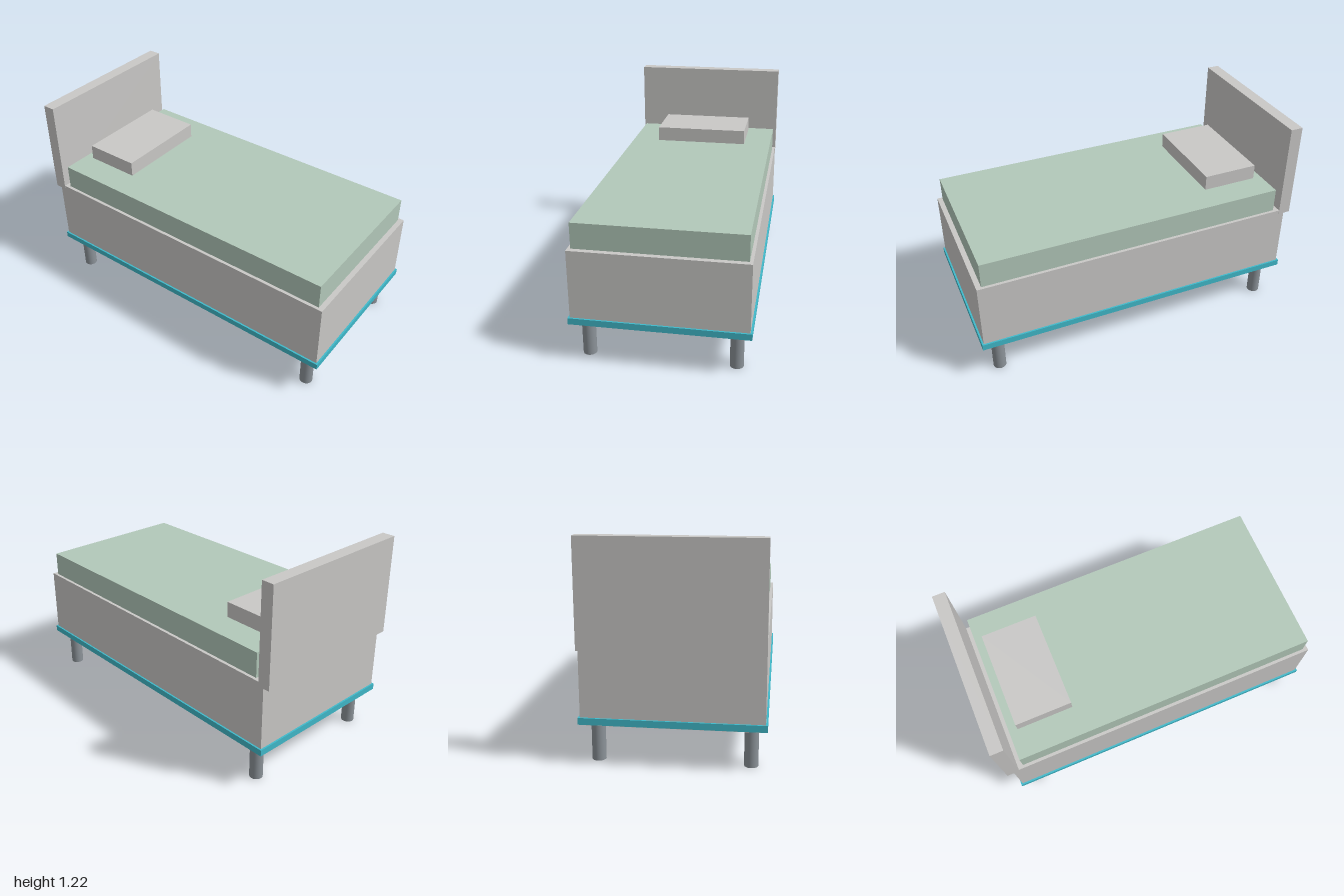
import * as THREE from 'three';

const material = (name, color) => {
  const m = new THREE.MeshStandardMaterial({ color });
  m.name = name;
  return m;
};

export function createModel() {
  const group = new THREE.Group();
  group.name = 'bed';

  const upholstery = material('warm grey upholstery', 0xc9c8c6);
  const sheet = material('pale green sheet', 0xb2c8b9);
  const teal = material('teal trim', 0x40b9ca);
  const metal = material('grey metal', 0x8b9298);

  // Box centred on x, given its width and its y and z extents
  const slab = (name, mat, width, y0, y1, z0, z1) => {
    const mesh = new THREE.Mesh(new THREE.BoxGeometry(width, y1 - y0, z1 - z0), mat);
    mesh.position.set(0, (y0 + y1) / 2, (z0 + z1) / 2);
    mesh.name = name;
    group.add(mesh);
  };

  slab('base', upholstery, 0.97, 0.222, 0.66, -0.96, 0.99);
  slab('trim', teal, 0.99, 0.227, 0.264, -0.97, 1.0);
  slab('mattress', sheet, 0.934, 0.66, 0.807, -0.892, 0.96);
  slab('pillow', upholstery, 0.586, 0.807, 0.898, -0.84, -0.5);
  slab('headboard', upholstery, 0.972, 0.635, 1.22, -1.0, -0.925);

  // Four round legs
  const legHeight = 0.217;
  const legGeometry = new THREE.CylinderGeometry(0.038, 0.038, legHeight, 32);
  for (const [end, z] of [['front', 0.897], ['back', -0.863]]) {
    for (const [side, x] of [['Left', 0.41], ['Right', -0.41]]) {
      const leg = new THREE.Mesh(legGeometry, metal);
      leg.position.set(x, legHeight / 2, z);
      leg.name = `${end}${side}Leg`;
      group.add(leg);
    }
  }

  return group;
}
